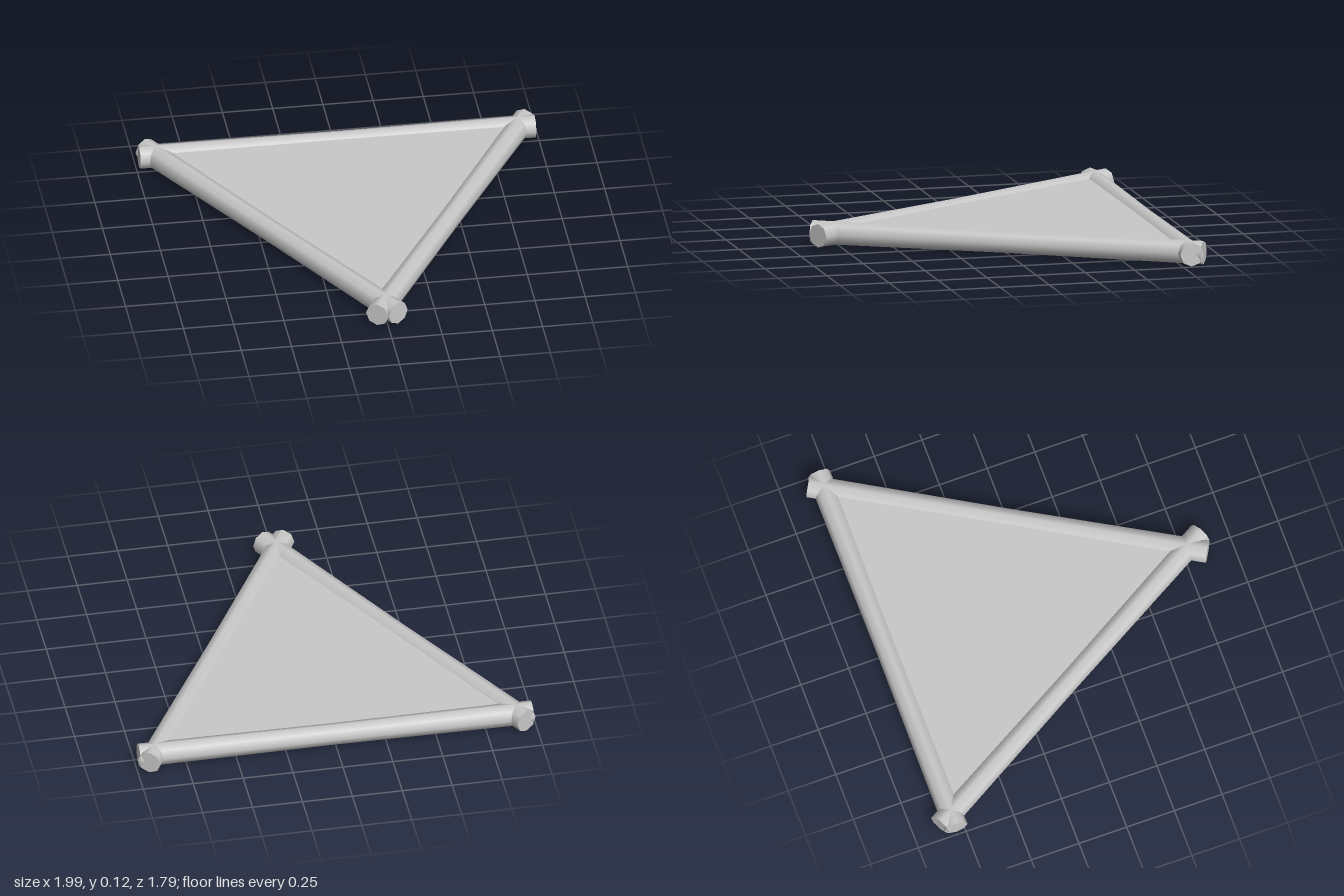
import * as THREE from 'three';

const grey = new THREE.MeshStandardMaterial({ color: 0xc8c8c8 });
grey.name = 'grey';

const MID_Y = 0.062;
const BACK_OVERHANG = 0.08;
const FRONT_OVERHANG = 0.105;
const PANEL_THICKNESS = 0.068;

// Axis crossings of the three rods (equilateral triangle, one corner to the front)
const corners = {
  backLeft: new THREE.Vector3(0.905, MID_Y, -0.796),
  backRight: new THREE.Vector3(-0.905, MID_Y, -0.796),
  front: new THREE.Vector3(0, MID_Y, 0.771),
};

// Eight-sided rod lying along x, a little slimmer at the middle
function rodGeometry(length) {
  const g = new THREE.CylinderGeometry(1, 1, length, 8, 8);
  g.rotateZ(Math.PI / 2);
  const p = g.attributes.position;
  for (let i = 0; i < p.count; i++) {
    const t = Math.abs(p.getX(i)) / (length / 2);
    const radius = 0.054 + 0.005 * t;
    p.setY(i, p.getY(i) * radius);
    p.setZ(i, p.getZ(i) * radius);
  }
  return g;
}

// Rod through two corners, running past each by its own overhang
function addRod(group, name, a, b, overA, overB) {
  const dir = b.clone().sub(a).normalize();
  const start = a.clone().addScaledVector(dir, -overA);
  const end = b.clone().addScaledVector(dir, overB);
  const rod = new THREE.Mesh(rodGeometry(start.distanceTo(end)), grey);
  rod.name = name;
  rod.position.copy(start).add(end).multiplyScalar(0.5);
  rod.rotation.y = -Math.atan2(dir.z, dir.x);
  group.add(rod);
}

export function createModel() {
  const group = new THREE.Group();
  group.name = 'triangularFrame';

  addRod(group, 'backRod', corners.backRight, corners.backLeft, BACK_OVERHANG, BACK_OVERHANG);
  addRod(group, 'leftRod', corners.front, corners.backLeft, FRONT_OVERHANG, BACK_OVERHANG);
  addRod(group, 'rightRod', corners.front, corners.backRight, FRONT_OVERHANG, BACK_OVERHANG);

  // Thick flat panel filling the frame, its edges buried in the rods
  const outline = new THREE.Shape(
    [corners.front, corners.backLeft, corners.backRight].map((c) => new THREE.Vector2(c.x, -c.z))
  );
  const slab = new THREE.ExtrudeGeometry(outline, { depth: PANEL_THICKNESS, bevelEnabled: false });
  const panel = new THREE.Mesh(slab.rotateX(-Math.PI / 2), grey);
  panel.name = 'panel';
  panel.position.y = MID_Y - PANEL_THICKNESS / 2;
  group.add(panel);

  return group;
}
